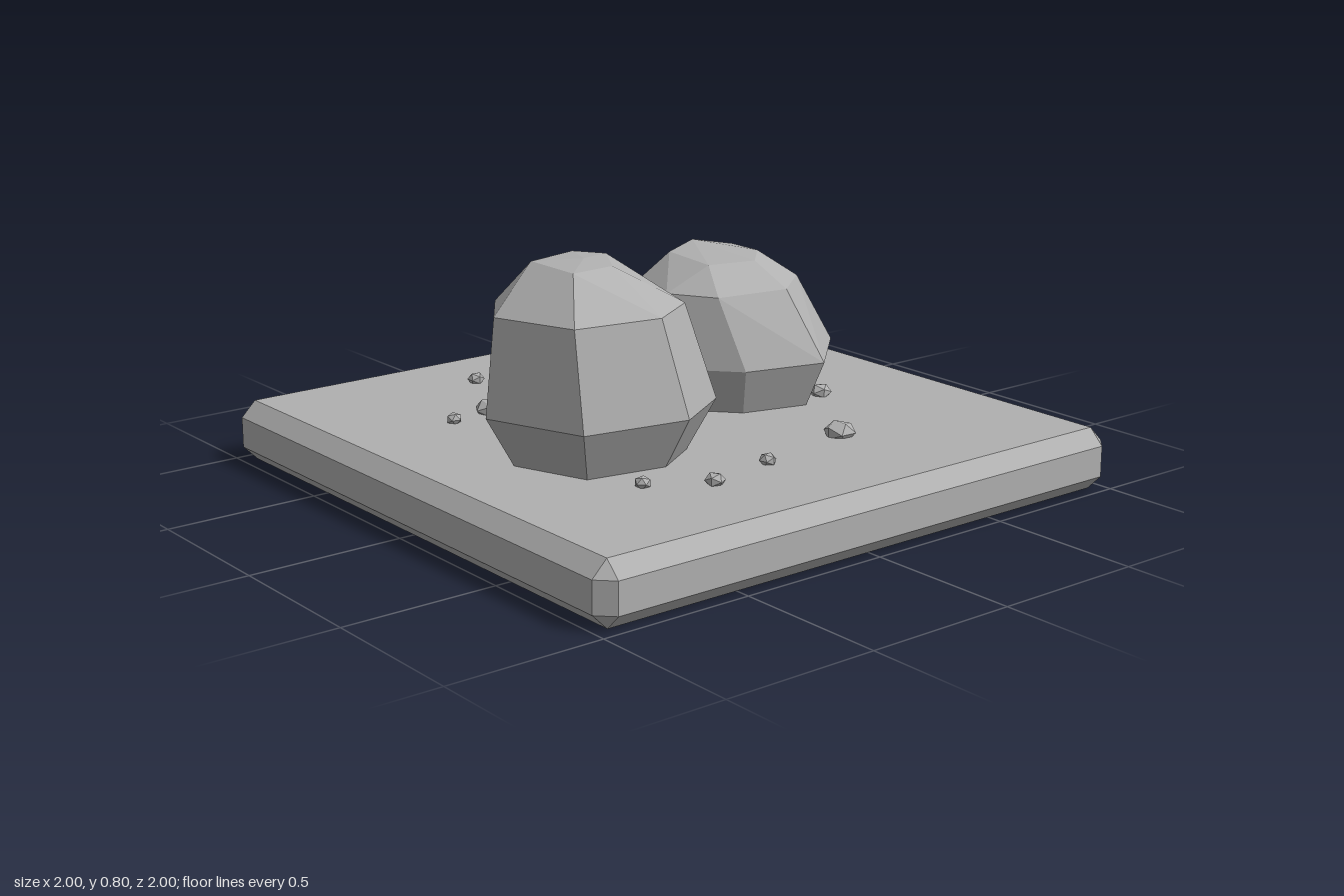
import * as THREE from 'three';
import { ConvexGeometry } from 'three/addons/geometries/ConvexGeometry.js';

const stone = new THREE.MeshStandardMaterial({ color: 0xb0b0b0, flatShading: true });
stone.name = 'grey stone';

// Faceted solid around a set of corner points
function hull(name, points) {
  const mesh = new THREE.Mesh(new ConvexGeometry(points), stone);
  mesh.name = name;
  return mesh;
}

// Square slab with every edge chamfered
function slab() {
  const pts = [], c = 0.05;
  for (const sx of [-1, 1]) for (const sy of [-1, 1]) for (const sz of [-1, 1]) {
    for (const [a, b, d] of [[0, c, c], [c, 0, c], [c, c, 0]]) {
      pts.push(new THREE.Vector3(sx * (1 - a), 0.1 + sy * (0.1 - b), sz * (1 - d)));
    }
  }
  return hull('baseSlab', pts);
}

// Boulder: stacked rings, each [y, [[x, z], ...]] or [y, [[x, z, own y], ...]]
function boulder(name, rings) {
  const pts = [];
  for (const [y, ring] of rings) for (const [x, z, own] of ring) pts.push(new THREE.Vector3(x, own ?? y, z));
  return hull(name, pts);
}

// Copy of a ring scaled about one centre and moved to another
const scaled = (ring, s, [cx, cz], [tx, tz] = [cx, cz]) =>
  ring.map(([x, z]) => [tx + (x - cx) * s, tz + (z - cz) * s]);

export function createModel() {
  const group = new THREE.Group();
  group.name = 'boulderSlab';
  group.add(slab());

  // Large boulder
  const a = [[-0.31, -0.16], [-0.04, 0.03], [-0.11, 0.39], [-0.32, 0.52], [-0.66, 0.46], [-0.78, 0.14], [-0.63, -0.07]];
  const ac = [-0.41, 0.18];
  group.add(boulder('largeBoulder', [
    [0.19, scaled(a, 0.74, ac)],
    [0.36, a],
    [0.66, scaled(a, 0.82, ac, [-0.44, 0.17])],
    [0.79, [[-0.56, 0.07], [-0.38, 0.03], [-0.32, 0.12], [-0.41, 0.27], [-0.56, 0.28]]],
    [0.8, [[-0.44, 0.17]]],
  ]));

  // Medium boulder, its crown leaning backwards
  const b = [[0.36, -0.36], [0.64, -0.22], [0.67, 0.05], [0.44, 0.27], [0.17, 0.20], [-0.01, 0], [0.07, -0.29]];
  group.add(boulder('mediumBoulder', [
    [0.19, scaled(b, 0.8, [0.33, -0.05])],
    [0.35, b],
    [0.58, [[0.35, -0.32], [0.57, -0.2], [0.54, 0.02], [0.38, 0.15], [0.13, 0.11], [0.04, -0.04], [0.09, -0.25]]],
    [0.67, [[0.18, -0.2], [0.3, -0.23, 0.69], [0.42, -0.17], [0.42, -0.04], [0.34, 0.04, 0.66], [0.18, 0, 0.66]]],
  ]));

  // Small boulder
  const d = [[0.12, -0.71], [0.24, -0.53], [0.21, -0.40], [0.07, -0.34], [-0.10, -0.41], [-0.13, -0.59], [-0.04, -0.68]];
  const dc = [0.06, -0.53];
  group.add(boulder('smallBoulder', [
    [0.19, scaled(d, 0.85, dc)],
    [0.27, d],
    [0.36, scaled(d, 0.76, dc, [0.05, -0.54])],
    [0.42, scaled(d, 0.36, dc, [0.05, -0.56])],
  ]));

  // Pebbles: x, z, radius
  const pebbles = [
    [-0.265, -0.68, 0.029], [-0.58, -0.335, 0.026], [-0.425, -0.36, 0.053], [-0.51, 0.54, 0.026],
    [-0.33, 0.65, 0.032], [-0.085, 0.6, 0.028], [0.28, 0.52, 0.053], [0.535, 0.15, 0.038],
  ];
  const shape = new THREE.IcosahedronGeometry(1, 0);
  pebbles.forEach(([x, z, r], i) => {
    const pebble = new THREE.Mesh(shape, stone);
    pebble.name = `pebble${i + 1}`;
    pebble.position.set(x, 0.212, z);
    pebble.scale.set(r, 0.008 + r * 0.5, r);
    pebble.rotation.y = i * 1.3;
    group.add(pebble);
  });
  return group;
}
